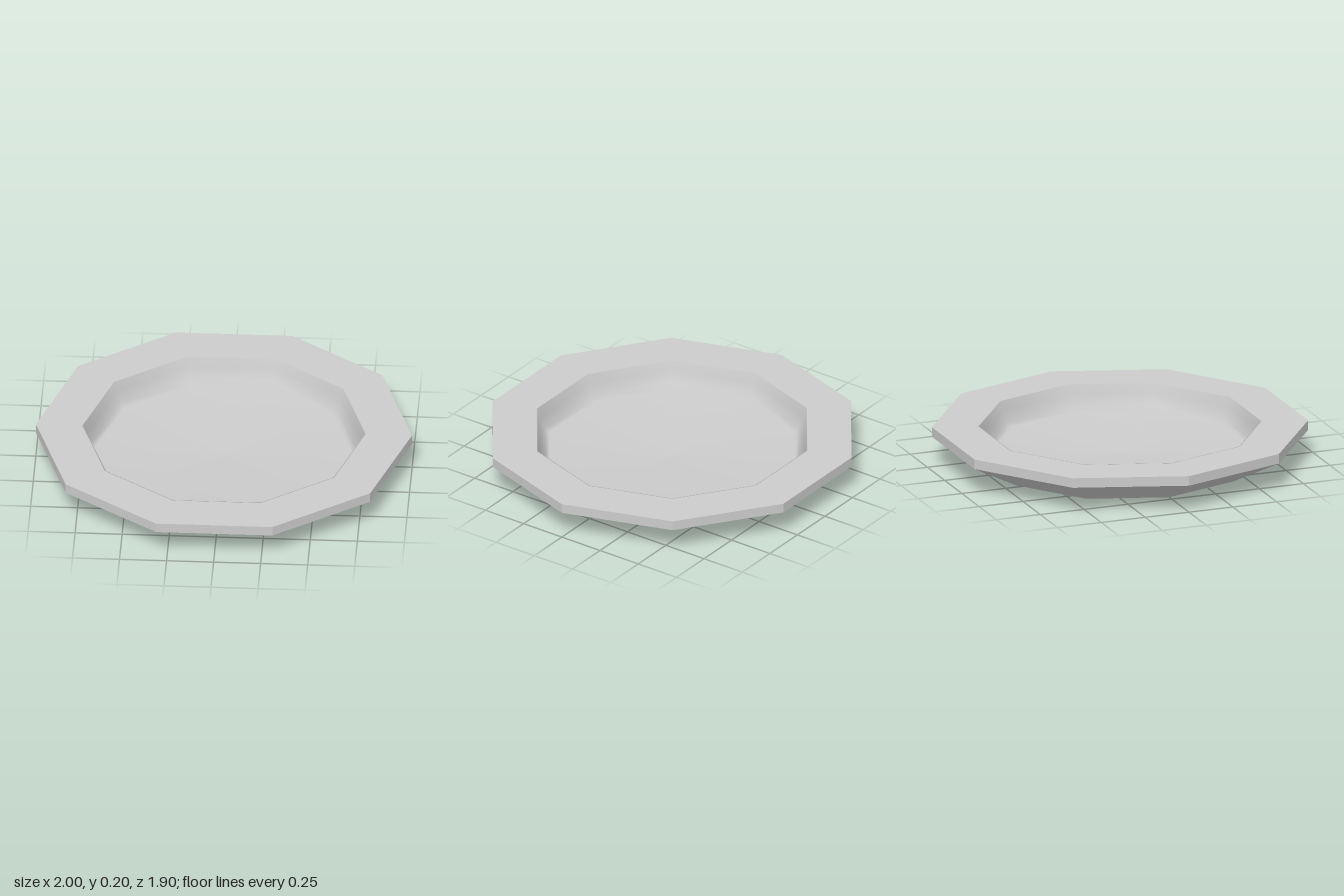
import * as THREE from 'three';

const SIDES = 10;

// Ten-sided solid of revolution with a corner pointing along +x
function turned(name, profile, flatShading) {
  const points = profile.map(([r, y]) => new THREE.Vector2(r, y));
  const geometry = new THREE.LatheGeometry(points, SIDES);
  geometry.rotateY(Math.PI / 2);
  const material = new THREE.MeshStandardMaterial({ color: 0xcccccc, flatShading });
  const mesh = new THREE.Mesh(geometry, material);
  mesh.name = name;
  return mesh;
}

export function createModel() {
  const plate = new THREE.Group();
  plate.name = 'plate';

  // Flat foot, sloping underside, upright edge and flat rim
  plate.add(turned('plateBody', [[0, 0], [0.715, 0], [1, 0.147], [1, 0.2], [0.755, 0.2]], true));

  // Steep rounded wall that drops from the rim to a nearly flat floor
  plate.add(turned('dish', [
    [0.755, 0.2], [0.75, 0.2], [0.735, 0.15], [0.71, 0.09], [0.685, 0.065], [0, 0.04],
  ], false));

  return plate;
}
